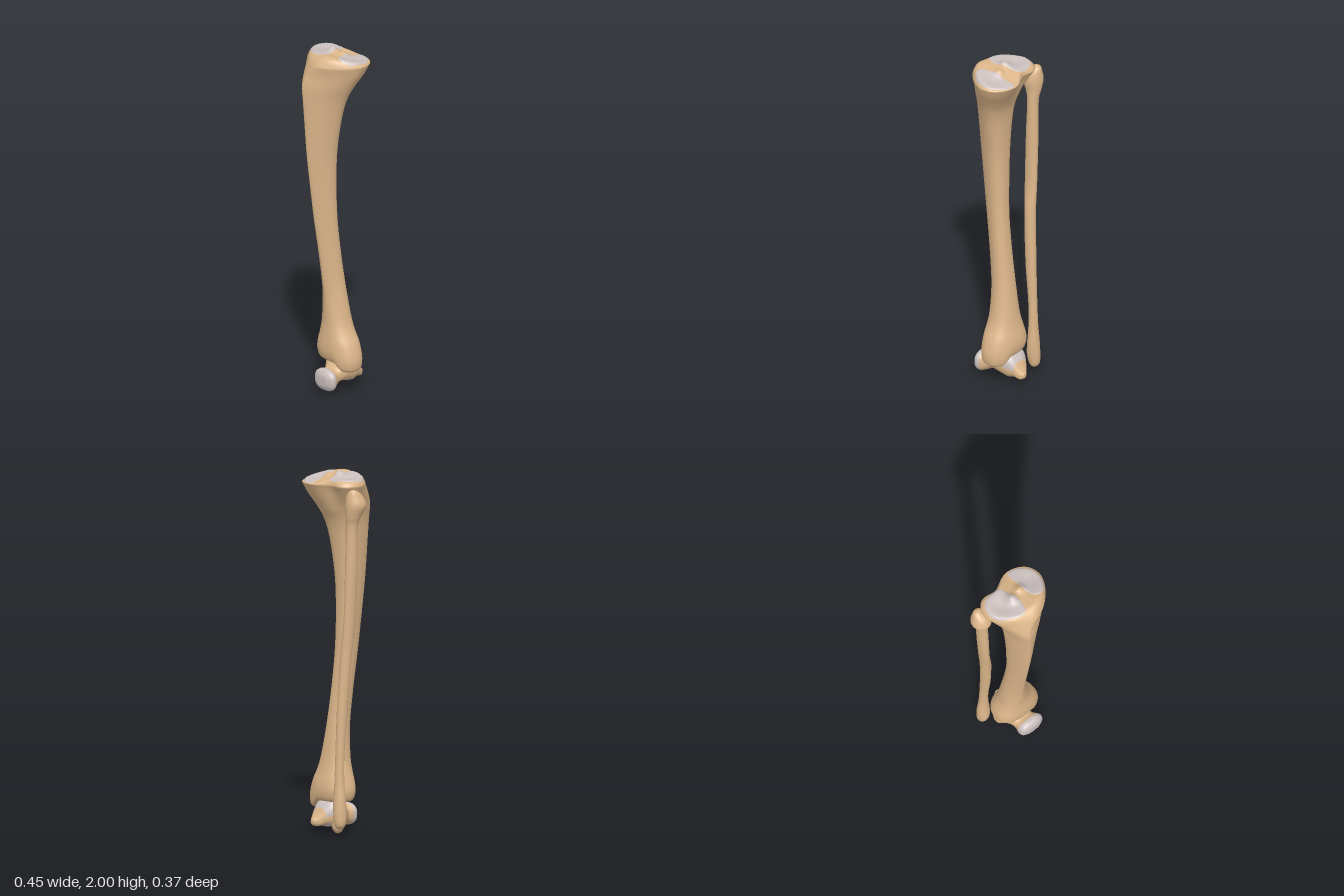
import * as THREE from 'three';

const bone = new THREE.MeshStandardMaterial({ color: 0xdcb68a });
bone.name = 'bone tan';
const cartilage = new THREE.MeshStandardMaterial({ color: 0xcbc0be });
cartilage.name = 'cartilage grey';

const N = 56; // points around each cross-section
const smooth = (v) => THREE.MathUtils.smoothstep(v, 0, 1);
const bump = (x, z, cx, cz, r) => Math.exp(-((x - cx) ** 2 + (z - cz) ** 2) / (r * r));
const power = (v, e) => Math.sign(v) * Math.abs(v) ** e;

// Smoothly resample a table of section rows
function resample(rows, steps) {
  const out = [];
  const cr = (a, b, c, d, t) =>
    b + 0.5 * t * (c - a + t * (2 * a - 5 * b + 4 * c - d + t * (3 * (b - c) + d - a)));
  const last = rows.length - 1;
  for (let i = 0; i < last; i++) {
    for (let k = 0; k < steps; k++) {
      const [a, b, c, d] = [rows[Math.max(i - 1, 0)], rows[i], rows[i + 1], rows[Math.min(i + 2, last)]];
      out.push(b.map((_, n) => cr(a[n], b[n], c[n], d[n], k / steps)));
    }
  }
  out.push(rows[last]);
  return out;
}

// One closed ring from a function of the angle
const ring = (fn) => Array.from({ length: N }, (_, j) => fn((j / N) * Math.PI * 2));

// Skin a stack of rings, closing both ends; paint(i, angle) picks the grey faces
function skin(name, rings, paint = () => false) {
  const pos = [];
  const faces = [[], []];
  rings.forEach((r) => r.forEach((p) => pos.push(...p)));
  for (let i = 0; i < rings.length - 1; i++) {
    for (let j = 0; j < N; j++) {
      const a = i * N + j, b = i * N + ((j + 1) % N), c = a + N, d = b + N;
      faces[paint(i, ((j + 0.5) / N) * Math.PI * 2) ? 1 : 0].push(a, c, b, b, c, d);
    }
  }
  [0, rings.length - 1].forEach((i, end) => {
    const mid = [0, 1, 2].map((k) => rings[i].reduce((s, p) => s + p[k], 0) / N);
    const m = pos.length / 3;
    pos.push(...mid);
    for (let j = 0; j < N; j++) {
      const a = i * N + j, b = i * N + ((j + 1) % N);
      faces[paint(i, 0) && paint(i, Math.PI) ? 1 : 0].push(m, end ? b : a, end ? a : b);
    }
  });
  const geo = new THREE.BufferGeometry();
  geo.setAttribute('position', new THREE.Float32BufferAttribute(pos, 3));
  geo.setIndex([...faces[0], ...faces[1]]);
  geo.addGroup(0, faces[0].length, 0);
  geo.addGroup(faces[0].length, faces[1].length, 1);
  geo.computeVertexNormals();
  const mesh = new THREE.Mesh(geo, [bone, cartilage]);
  mesh.name = name;
  return mesh;
}

// Shinbone rows: y, right, left, back, front, crest x, back x, widest z
const SHIN = [
  [0.175, -0.078, 0.165, -0.108, 0.042, 0.03, 0.03, -0.03],
  [0.19, -0.092, 0.177, -0.123, 0.056, 0.03, 0.03, -0.03],
  [0.23, -0.1, 0.18, -0.13, 0.066, 0.03, 0.02, -0.03],
  [0.28, -0.092, 0.162, -0.125, 0.066, 0.03, 0.02, -0.03],
  [0.34, -0.075, 0.13, -0.11, 0.06, 0.03, 0.02, -0.03],
  [0.42, -0.06, 0.105, -0.095, 0.056, 0.025, 0.02, -0.025],
  [0.6, -0.05, 0.078, -0.07, 0.066, 0.02, 0.015, -0.01],
  [0.8, -0.048, 0.066, -0.042, 0.09, 0.01, 0.01, 0.01],
  [1.0, -0.05, 0.06, -0.022, 0.118, 0.0, 0.005, 0.03],
  [1.2, -0.057, 0.06, -0.016, 0.143, -0.005, 0.0, 0.04],
  [1.4, -0.065, 0.07, -0.018, 0.165, -0.01, 0.0, 0.045],
  [1.6, -0.075, 0.1, -0.032, 0.178, -0.015, 0.01, 0.04],
  [1.72, -0.085, 0.13, -0.052, 0.184, -0.02, 0.02, 0.025],
  [1.8, -0.105, 0.165, -0.088, 0.185, -0.025, 0.04, 0.01],
  [1.87, -0.138, 0.202, -0.13, 0.17, -0.01, 0.05, -0.015],
  [1.93, -0.167, 0.225, -0.165, 0.155, 0.04, 0.04, -0.03],
];
const [RIM, X0, X1, Z0, Z1, CX, , CZ] = SHIN[SHIN.length - 1];
const BACK = 2.3, FRONT = 1.6;
const notch = (x) => 1 - 0.35 * Math.exp(-(((x + 0.03) / 0.07) ** 2));

// Height of the knee surface, rounded off towards the rim
function plateau(x, z) {
  const medial = smooth((x + 0.02) / 0.1);
  let h = 1.971 + z * (0.07 + 0.14 * medial) - 0.004 * medial;
  h += 0.028 * bump(x, z, 0.005, -0.01, 0.032) + 0.026 * bump(x, z, 0.075, -0.03, 0.028);
  h -= 0.012 * bump(x, z, -0.075, -0.01, 0.06) + 0.012 * bump(x, z, 0.15, -0.04, 0.06);
  h -= Math.max(0, z - 0.1) * 0.7;
  const e = z > CZ ? FRONT : BACK;
  const u = Math.abs(x - CX) / (x > CX ? X1 - CX : CX - X0);
  const v = z > CZ ? (z - CZ) / (Z1 - CZ) : (CZ - z) / ((CZ - Z0) * notch(x));
  const f = Math.min(1, (u ** e + v ** e) ** (1 / e));
  return RIM + (h - RIM) * (1 - f ** 14);
}

function makeShin() {
  const rings = resample(SHIN, 5).map(([y, x0, x1, z0, z1, fx, bx, cz]) => ring((a) => {
    const c = Math.cos(a), s = Math.sin(a);
    const e = 2 / (s > 0 ? THREE.MathUtils.lerp(2.3, FRONT, smooth((y - 0.3) / 0.3)) : BACK);
    const mx = s > 0 ? fx : bx;
    const x = mx + power(c, e) * (c > 0 ? x1 - mx : mx - x0);
    let z = power(s, e) * (s > 0 ? z1 - cz : cz - z0);
    if (s < 0) z *= THREE.MathUtils.lerp(1, notch(x), smooth((y - 1.76) / 0.16));
    // inner ankle knob hangs lower than the rest
    const drop = 0.042 * smooth((x - 0.07) / 0.06) * smooth((0.32 - y) / 0.14);
    return [x, y - drop, cz + z];
  }));
  // knee surface as shrinking rings
  const rim = rings[rings.length - 1];
  [0.99, 0.975, 0.955, 0.93, 0.9, 0.85, 0.78, 0.7, 0.61, 0.52, 0.43, 0.34, 0.25, 0.16, 0.07].forEach((s) =>
    rings.push(rim.map(([x, , z]) => {
      const px = CX + (x - CX) * s, pz = CZ + (z - CZ) * s;
      return [px, plateau(px, pz), pz];
    })));
  return skin('shinbone', rings);
}

// Thin cartilage plate draped over the knee surface
function makePlate(name, outline) {
  const curve = new THREE.CatmullRomCurve3(outline.map(([x, z]) => new THREE.Vector3(x, 0, z)), true);
  const edge = curve.getPoints(N).slice(0, N);
  const mid = edge.reduce((m, p) => m.addScaledVector(p, 1 / N), new THREE.Vector3());
  const rings = [];
  for (let k = 0; k < 18; k++) {
    const s = 1 - k / 18;
    rings.push(edge.map((p) => {
      const q = mid.clone().lerp(p, s);
      return [q.x, plateau(q.x, q.z) + (k ? 0.004 : 0.001), q.z];
    }));
  }
  const mesh = skin(name, rings, () => true);
  // leave off the lower closing fan
  const idx = Array.from(mesh.geometry.index.array);
  idx.splice(idx.length - N * 6, N * 3);
  mesh.geometry.setIndex(idx);
  mesh.geometry.clearGroups();
  mesh.geometry.computeVertexNormals();
  mesh.material = cartilage;
  return mesh;
}

// Calf bone rows: y, x, z, half width, half depth
const CALF = [
  [0.038, -0.11, -0.12, 0.01, 0.012], [0.06, -0.113, -0.121, 0.029, 0.03],
  [0.12, -0.11, -0.118, 0.036, 0.038], [0.2, -0.107, -0.12, 0.036, 0.033],
  [0.3, -0.106, -0.12, 0.028, 0.027], [0.45, -0.106, -0.116, 0.025, 0.025],
  [0.7, -0.109, -0.1, 0.028, 0.032], [1.0, -0.121, -0.084, 0.031, 0.033],
  [1.2, -0.14, -0.074, 0.026, 0.039], [1.5, -0.151, -0.073, 0.031, 0.037],
  [1.7, -0.155, -0.075, 0.033, 0.031], [1.77, -0.165, -0.07, 0.042, 0.045],
  [1.83, -0.172, -0.06, 0.057, 0.06], [1.88, -0.171, -0.066, 0.045, 0.049],
  [1.91, -0.176, -0.08, 0.026, 0.027], [1.92, -0.178, -0.085, 0.008, 0.008],
];

// Ankle bone rows, back to front: z, x, half width, bottom, top
const ANKLE = [
  [-0.185, 0.04, 0.012, 0.055, 0.08], [-0.165, 0.036, 0.034, 0.042, 0.1],
  [-0.13, 0.026, 0.06, 0.045, 0.155], [-0.1, 0.022, 0.078, 0.035, 0.185],
  [-0.06, 0.022, 0.086, 0.04, 0.2], [-0.02, 0.025, 0.085, 0.05, 0.188],
  [0.015, 0.035, 0.065, 0.05, 0.15], [0.045, 0.045, 0.062, 0.035, 0.135],
  [0.08, 0.055, 0.077, 0.022, 0.146], [0.105, 0.056, 0.07, 0.03, 0.14],
  [0.12, 0.056, 0.04, 0.055, 0.115],
];

export function createModel() {
  const model = new THREE.Group();
  model.name = 'lowerLegBones';
  model.add(makeShin());
  model.add(makePlate('outerKneeCartilage', [[-0.15, -0.03], [-0.13, -0.08], [-0.08, -0.106], [-0.01, -0.1],
    [0.008, -0.05], [0.028, 0], [0.03, 0.06], [0.01, 0.1], [-0.03, 0.098], [-0.09, 0.068], [-0.135, 0.03]]));
  model.add(makePlate('innerKneeCartilage', [[0.085, -0.148], [0.13, -0.147], [0.174, -0.117], [0.208, -0.07],
    [0.213, -0.02], [0.197, 0.03], [0.16, 0.065], [0.12, 0.055], [0.095, 0.01], [0.09, -0.07]]));

  // slender outer bone
  model.add(skin('calfBone', resample(CALF, 5).map(([y, x, z, rx, rz]) =>
    ring((a) => [x + rx * Math.cos(a), y, z + rz * Math.sin(a)]))));

  // ankle bone with grey dome, front head and under-facet
  const steps = 4;
  model.add(skin('ankleBone', resample(ANKLE, steps).map(([z, x, rx, y0, y1]) => ring((a) => [
    x + rx * power(Math.cos(a), 0.8),
    (y0 + y1) / 2 - ((y1 - y0) / 2) * power(Math.sin(a), 0.8),
    z,
  ])), (i, a) => {
    const r = i / steps, up = -Math.sin(a);
    return r >= 7.75 || (r >= 1.75 && r < 5.25 && up > 0.05) || (r >= 2 && r < 4.5 && up < -0.6);
  }));

  // outer spur under the ankle bone
  const spur = new THREE.Mesh(new THREE.SphereGeometry(1, 28, 20), bone);
  spur.name = 'ankleSpur';
  spur.scale.set(0.032, 0.055, 0.04);
  spur.position.set(-0.038, 0.055, -0.065);
  model.add(spur);
  return model;
}
